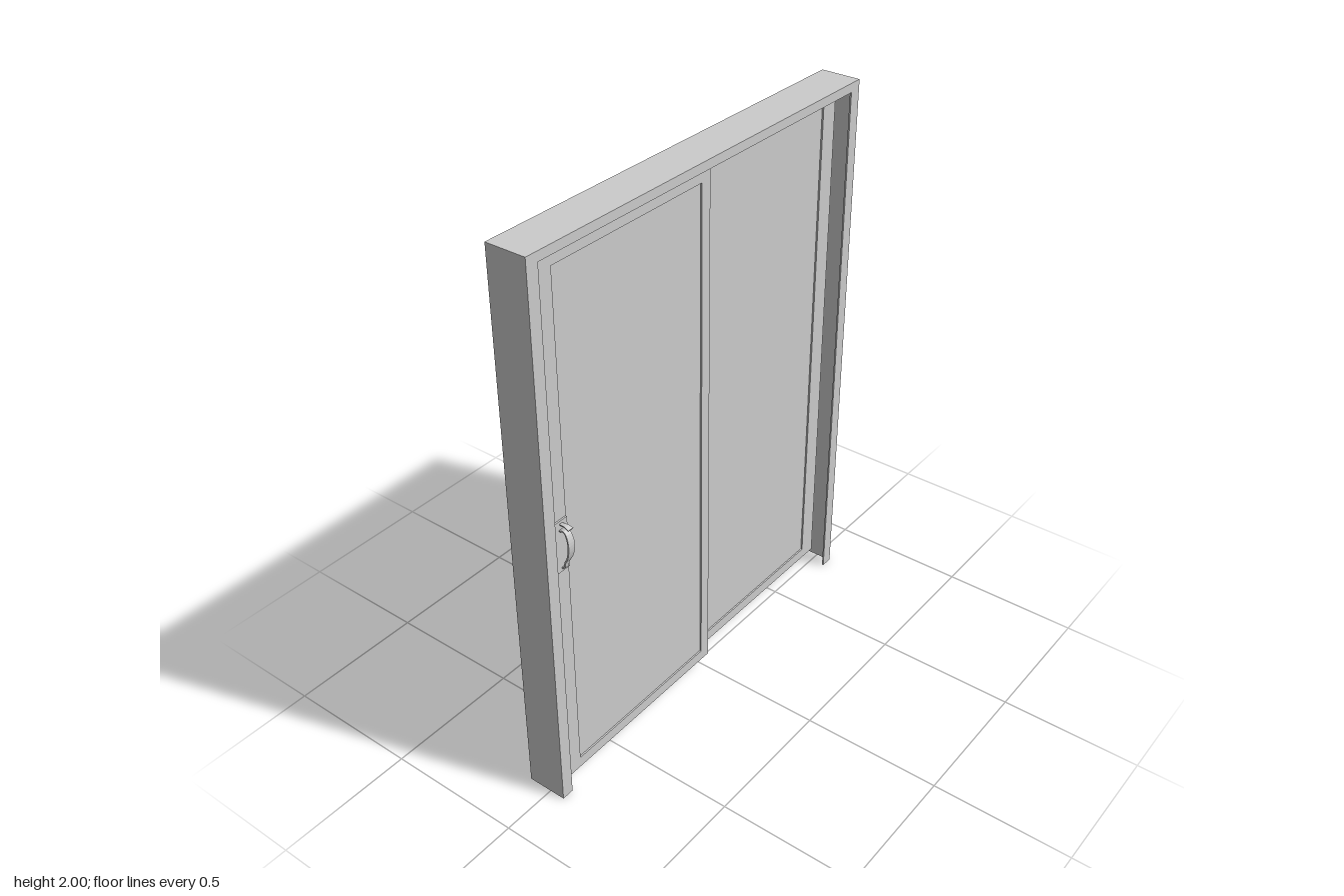
import * as THREE from 'three';

const material = new THREE.MeshStandardMaterial({ color: 0xcccccc, side: THREE.DoubleSide });

function add(parent, name, geometry, x = 0, y = 0, z = 0) {
  const mesh = new THREE.Mesh(geometry, material);
  mesh.name = name;
  mesh.position.set(x, y, z);
  parent.add(mesh);
  return mesh;
}

// Box given by its lower and upper limits on each axis
function block(parent, name, [x0, x1], [y0, y1], [z0, z1]) {
  return add(parent, name, new THREE.BoxGeometry(x1 - x0, y1 - y0, z1 - z0),
    (x0 + x1) / 2, (y0 + y1) / 2, (z0 + z1) / 2);
}

function rectangle(path, x0, x1, y0, y1) {
  path.moveTo(x0, y0);
  path.lineTo(x1, y0);
  path.lineTo(x1, y1);
  path.lineTo(x0, y1);
  path.closePath();
  return path;
}

// Sliding leaf: deep frame around a thin pane set near its front
function makeDoor(name, outer, pane, back, front) {
  const door = new THREE.Group();
  door.name = name;
  const shape = rectangle(new THREE.Shape(), ...outer, 0.055, 1.966);
  shape.holes.push(rectangle(new THREE.Path(), ...pane, 0.095, 1.927));
  add(door, 'doorFrame', new THREE.ExtrudeGeometry(shape, { depth: front - back, bevelEnabled: false }), 0, 0, back);
  block(door, 'glassPane', pane, [0.095, 1.927], [front - 0.012, front - 0.006]);
  return door;
}

// Strap that follows a side profile of [z, y] points, with a width per point
function makeStrap(points, widths, thickness) {
  const curve = new THREE.CatmullRomCurve3(points.map(([z, y]) => new THREE.Vector3(0, y, z)));
  const steps = 24, positions = [], index = [];
  for (let i = 0; i <= steps; i++) {
    const t = i / steps;
    const p = curve.getPoint(t), d = curve.getTangent(t);
    const k = Math.min(t * (widths.length - 1), widths.length - 1.001);
    const w = THREE.MathUtils.lerp(widths[Math.floor(k)], widths[Math.floor(k) + 1], k % 1) / 2;
    const ny = -d.z * thickness / 2, nz = d.y * thickness / 2;
    for (const [sx, sn] of [[-1, -1], [1, -1], [1, 1], [-1, 1]]) {
      positions.push(sx * w, p.y + sn * ny, p.z + sn * nz);
    }
    for (let j = 0; j < 4 && i < steps; j++) {
      const a = i * 4 + j, b = i * 4 + (j + 1) % 4;
      index.push(a, a + 4, b, b, a + 4, b + 4);
    }
  }
  const e = steps * 4;
  index.push(0, 1, 2, 0, 2, 3, e, e + 2, e + 1, e, e + 3, e + 2);
  const indexed = new THREE.BufferGeometry();
  indexed.setAttribute('position', new THREE.Float32BufferAttribute(positions, 3));
  indexed.setIndex(index);
  const geometry = indexed.toNonIndexed();
  geometry.computeVertexNormals();
  return geometry;
}

export function createModel() {
  const model = new THREE.Group();
  model.name = 'slidingDoor';
  const W = 0.797, back = -0.088, front = 0.057, sheet = 0.004;

  // Surround: thin outer sheets, open at the back, with a front trim
  const surround = new THREE.Group();
  surround.name = 'surround';
  model.add(surround);
  for (const side of [-1, 1]) {
    const x = side * (W - sheet / 2);
    add(surround, 'jamb', new THREE.BoxGeometry(sheet, 2, front - back), x, 1, (front + back) / 2);
  }
  block(surround, 'header', [-W, W], [2 - sheet, 2], [back, front]);
  const trim = new THREE.Shape();
  [[-W, 0], [-0.752, 0], [-0.752, 1.968], [0.752, 1.968], [0.752, 0], [W, 0], [W, 2], [-W, 2]]
    .forEach(([x, y], i) => (i ? trim.lineTo(x, y) : trim.moveTo(x, y)));
  trim.closePath();
  add(surround, 'frontTrim', new THREE.ExtrudeGeometry(trim, { depth: 0.006, bevelEnabled: false }), 0, 0, front - 0.006);

  // Two leaves on neighbouring tracks, overlapping in the middle
  model.add(makeDoor('frontDoor', [-0.757, 0.01], [-0.69, -0.03], 0.0, 0.043));
  model.add(makeDoor('rearDoor', [-0.025, 0.75], [0.02, 0.682], -0.045, -0.002));

  // Pull handle on the stile of the front leaf
  const handle = new THREE.Group();
  handle.name = 'handle';
  handle.position.x = -0.72;
  model.add(handle);
  block(handle, 'handlePlate', [-0.028, 0.028], [0.915, 1.102], [0.043, 0.049]);
  add(handle, 'grip', makeStrap(
    [[0.047, 1.068], [0.07, 1.073], [0.083, 1.05], [0.086, 1.015], [0.078, 0.98], [0.065, 0.955], [0.06, 0.935], [0.047, 0.928]],
    [0.018, 0.022, 0.026, 0.028, 0.024, 0.018, 0.016, 0.014], 0.005));
  add(handle, 'thumbLatch', makeStrap([[0.047, 1.09], [0.07, 1.092], [0.088, 1.087]], [0.012, 0.016, 0.022], 0.004));

  return model;
}
